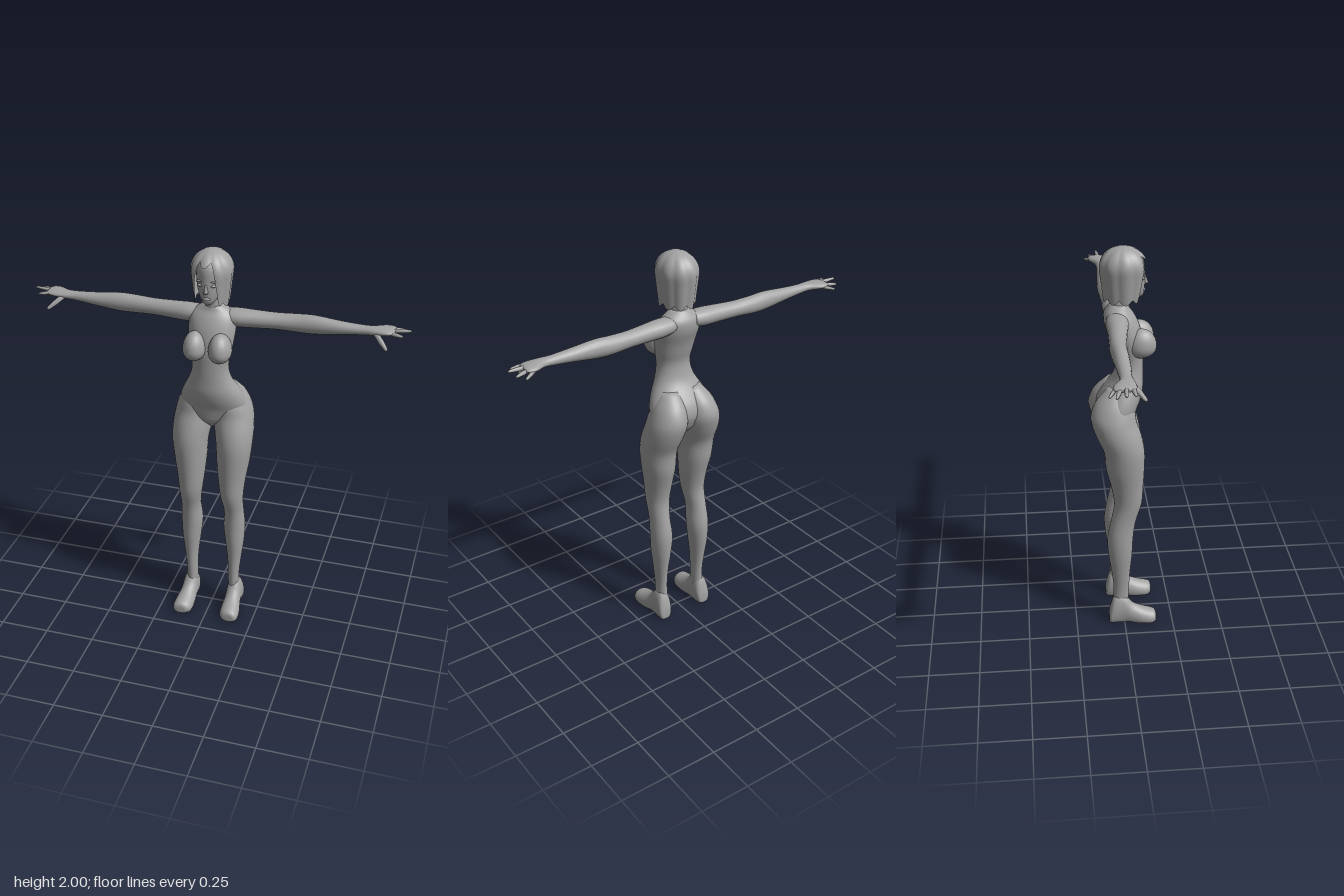
import * as THREE from 'three';

const grey = new THREE.MeshStandardMaterial({ color: 0xa2a2a2 });
grey.name = 'clay grey';
grey.side = THREE.DoubleSide;

// Closed rings of points joined into a smooth skin, with optional end caps
function skin(rows, cols, point, caps = true) {
  const pos = [], index = [];
  for (let i = 0; i <= rows; i++)
    for (let j = 0; j < cols; j++) pos.push(...point(i / rows, (j / cols) * Math.PI * 2));
  for (let i = 0; i < rows; i++)
    for (let j = 0; j < cols; j++) {
      const a = i * cols + j, b = i * cols + ((j + 1) % cols);
      index.push(a, b, a + cols, b, b + cols, a + cols);
    }
  if (caps) for (const [row, flip] of [[0, true], [rows, false]]) {
    const c = pos.length / 3, mid = [0, 0, 0];
    for (let j = 0; j < cols; j++)
      for (let k = 0; k < 3; k++) mid[k] += pos[(row * cols + j) * 3 + k] / cols;
    pos.push(...mid);
    for (let j = 0; j < cols; j++) {
      const a = row * cols + j, b = row * cols + ((j + 1) % cols);
      index.push(c, flip ? b : a, flip ? a : b);
    }
  }
  const g = new THREE.BufferGeometry();
  g.setAttribute('position', new THREE.Float32BufferAttribute(pos, 3));
  g.setIndex(index);
  g.computeVertexNormals();
  return g;
}

// Smooth interpolation through a list of cross-sections
function sample(list, t) {
  const f = t * (list.length - 1), i = Math.min(Math.floor(f), list.length - 2), u = f - i;
  const at = k => list[Math.max(0, Math.min(list.length - 1, k))];
  return list[0].map((_, c) => {
    const [p, q, r, s] = [-1, 0, 1, 2].map(k => at(i + k)[c]);
    return q + 0.5 * u * (r - p + u * (2 * p - 5 * q + 4 * r - s + u * (3 * (q - r) + s - p)));
  });
}

// Elliptical loft along axis k; a section is [position, min and max on axis k+1, min and max on axis k+2]
function loft(k, sections, cols = 24, floor = -Infinity) {
  return skin((sections.length - 1) * 3, cols, (t, a) => {
    const [d, c0, c1, s0, s1] = sample(sections, t), p = [0, 0, 0];
    p[k] = d;
    p[(k + 1) % 3] = (c0 + c1) / 2 + Math.cos(a) * (c1 - c0) / 2;
    p[(k + 2) % 3] = (s0 + s1) / 2 + Math.sin(a) * (s1 - s0) / 2;
    p[1] = Math.max(floor, p[1]);
    return p;
  });
}
const symmetric = list => list.map(([y, z0, z1, w]) => [y, z0, z1, -w, w]);

// Reflected copy across x = 0 with its winding restored
function mirror(geometry) {
  const g = geometry.clone().scale(-1, 1, 1), id = g.index.array;
  for (let i = 0; i < id.length; i += 3) [id[i], id[i + 1]] = [id[i + 1], id[i]];
  g.computeVertexNormals();
  return g;
}

function ellipsoid(x, y, z, rx, ry, rz) {
  return new THREE.SphereGeometry(1, 20, 14).scale(rx, ry, rz).translate(x, y, z);
}

// Tapered finger with a rounded tip
function finger(from, to, r0, r1) {
  const a = new THREE.Vector3(...from), dir = new THREE.Vector3(...to).sub(a), n = dir.length();
  const profile = [[0, 0], [r0, 0], [r0, n * 0.5], [r1, n * 0.88], [r1 * 0.6, n * 0.97], [0, n]];
  const g = new THREE.LatheGeometry(profile.map(p => new THREE.Vector2(...p)), 8);
  g.applyQuaternion(new THREE.Quaternion().setFromUnitVectors(new THREE.Vector3(0, 1, 0), dir.normalize()));
  return g.translate(a.x, a.y, a.z);
}

export function createModel() {
  const model = new THREE.Group();
  model.name = 'standingFigure';
  const add = (name, geometry) => {
    const m = new THREE.Mesh(geometry, grey);
    m.name = name;
    model.add(m);
  };
  const pair = (name, geometry) => {
    add('left' + name, geometry);
    add('right' + name, mirror(geometry));
  };

  // Torso from crotch to shoulders, then neck
  add('torso', loft(1, symmetric([
    [1.07, -0.05, 0, 0.012], [1.12, -0.1, 0.055, 0.07], [1.16, -0.12, 0.066, 0.125],
    [1.2, -0.13, 0.073, 0.166], [1.25, -0.12, 0.09, 0.158], [1.3, -0.088, 0.1, 0.135],
    [1.35, -0.052, 0.1, 0.108], [1.4, -0.036, 0.1, 0.092], [1.45, -0.032, 0.1, 0.09],
    [1.5, -0.045, 0.1, 0.1], [1.56, -0.062, 0.095, 0.11], [1.62, -0.085, 0.08, 0.115],
    [1.67, -0.09, 0.056, 0.11], [1.7, -0.075, 0.035, 0.08], [1.725, -0.055, 0.028, 0.04],
  ]), 32));
  add('neck', loft(1, symmetric([
    [1.68, -0.07, 0.035, 0.055], [1.72, -0.055, 0.03, 0.041],
    [1.77, -0.048, 0.038, 0.037], [1.83, -0.045, 0.045, 0.038],
  ])));

  // Breasts, sloping gently into the upper chest
  const breast = ellipsoid(0, 0, 0, 0.056, 0.06, 0.073), bp = breast.attributes.position;
  for (let i = 0; i < bp.count; i++) if (bp.getY(i) > 0) bp.setY(i, bp.getY(i) * 1.4);
  breast.translate(0.062, 1.53, 0.085).computeVertexNormals();
  pair('Breast', breast);

  // Legs carry the buttocks and outer hips
  pair('Leg', loft(1, [
    [0.1, -0.058, 0.02, 0.085, 0.142], [0.2, -0.055, 0.025, 0.085, 0.142], [0.3, -0.065, 0.03, 0.08, 0.152],
    [0.4, -0.08, 0.04, 0.068, 0.164], [0.5, -0.085, 0.045, 0.058, 0.168], [0.6, -0.068, 0.058, 0.064, 0.163],
    [0.7, -0.05, 0.088, 0.05, 0.166], [0.8, -0.065, 0.095, 0.037, 0.176], [0.9, -0.09, 0.1, 0.028, 0.192],
    [1, -0.1, 0.1, 0.022, 0.203], [1.08, -0.135, 0.085, 0.008, 0.204], [1.15, -0.158, 0.062, 0, 0.195],
    [1.2, -0.158, 0.055, 0, 0.18], [1.26, -0.13, 0.04, 0.005, 0.152], [1.32, -0.07, 0.02, 0.02, 0.105],
  ], 28));

  // Feet with flat soles
  pair('Foot', loft(2, [
    [-0.08, 0.105, 0.145, 0, 0.05], [-0.073, 0.09, 0.157, -0.02, 0.09], [-0.05, 0.082, 0.16, -0.03, 0.15],
    [0, 0.08, 0.16, -0.03, 0.155], [0.04, 0.078, 0.165, -0.03, 0.105], [0.09, 0.075, 0.175, -0.03, 0.078],
    [0.135, 0.078, 0.177, -0.025, 0.064], [0.157, 0.09, 0.17, -0.01, 0.055], [0.165, 0.105, 0.158, 0, 0.04],
  ], 24, 0));

  // Outstretched arms with palms
  pair('Arm', loft(0, [
    [0.05, 1.625, 1.7, -0.08, 0.02], [0.12, 1.615, 1.703, -0.087, 0.02], [0.2, 1.615, 1.7, -0.085, 0.008],
    [0.3, 1.617, 1.696, -0.088, -0.005], [0.4, 1.612, 1.7, -0.092, -0.012], [0.48, 1.613, 1.703, -0.088, -0.012],
    [0.6, 1.628, 1.692, -0.08, -0.014], [0.7, 1.64, 1.686, -0.075, -0.02], [0.75, 1.645, 1.686, -0.08, -0.015],
    [0.8, 1.65, 1.686, -0.108, -0.01], [0.835, 1.655, 1.683, -0.11, -0.015], [0.85, 1.662, 1.677, -0.1, -0.03],
  ], 20));

  // Fingers and thumbs: base, tip, radius
  [
    ['LittleFinger', [0.81, 1.665, -0.096], [0.872, 1.65, -0.13], 0.009],
    ['RingFinger', [0.825, 1.668, -0.08], [0.905, 1.66, -0.102], 0.01],
    ['MiddleFinger', [0.825, 1.67, -0.056], [0.923, 1.676, -0.064], 0.01],
    ['IndexFinger', [0.825, 1.669, -0.03], [0.89, 1.662, -0.02], 0.01],
    ['Thumb', [0.762, 1.662, -0.03], [0.828, 1.607, 0.03], 0.013],
  ].forEach(([name, a, b, r]) => pair(name, finger(a, b, r, r * 0.7)));

  // Head and facial features
  add('head', loft(1, symmetric([
    [1.752, 0.045, 0.085, 0.014], [1.77, 0, 0.1, 0.034], [1.8, -0.05, 0.104, 0.053],
    [1.84, -0.08, 0.107, 0.064], [1.88, -0.09, 0.105, 0.069], [1.93, -0.09, 0.1, 0.07],
    [1.97, -0.07, 0.07, 0.05], [1.985, -0.03, 0.03, 0.02],
  ]), 28));
  add('nose', skin(4, 8, (t, a) => [
    Math.sin(a) * (0.011 - 0.007 * t), 1.82 + 0.04 * t, 0.105 + Math.cos(a) * (0.018 - 0.014 * t)]));
  add('mouth', ellipsoid(0, 1.79, 0.1, 0.02, 0.007, 0.009));
  pair('Eye', ellipsoid(0.029, 1.853, 0.093, 0.016, 0.007, 0.009));
  pair('Brow', ellipsoid(0.03, 1.873, 0.092, 0.021, 0.004, 0.01));

  // Chin-length hair: a ridged shell that opens over the face and ends in pointed locks
  add('hair', skin(20, 72, (t, a) => {
    const angle = a > Math.PI ? a - Math.PI * 2 : a;
    const ridge = Math.abs(Math.cos(angle * 4.5 + 0.5));
    const open = 1 - THREE.MathUtils.smoothstep(Math.abs(angle + 0.08), 0.35, 0.85);
    const bottom = 1.738 + 0.2 * open + 0.025 * (1 - ridge);
    const y = bottom + (2 - bottom) * Math.sin(t * Math.PI / 2);
    const shape = y > 1.9 ? Math.sqrt(Math.max(0, 1 - ((y - 1.9) / 0.1) ** 2)) : 1 - (1.9 - y) * 1.1;
    const r = shape * (0.95 + 0.06 * ridge);
    return [Math.sin(a) * 0.1 * r, y, 0.004 + Math.cos(a) * 0.114 * r];
  }, false));

  return model;
}
